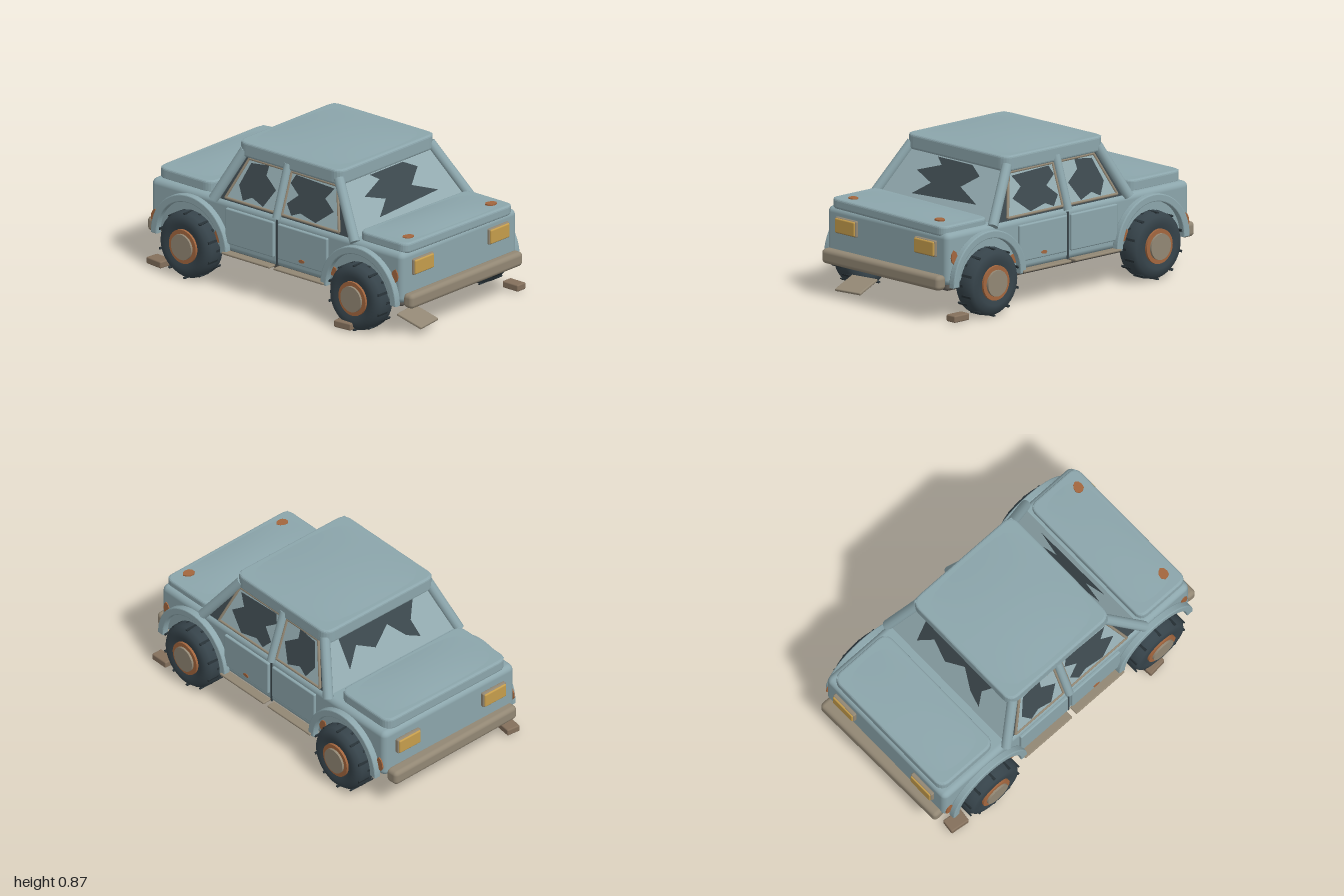
import * as THREE from 'three';
import { RoundedBoxGeometry } from 'three/addons/geometries/RoundedBoxGeometry.js';

const mat = (name, color, side = THREE.FrontSide) => {
  const m = new THREE.MeshStandardMaterial({ color, side });
  m.name = name;
  return m;
};

export function createModel() {
  const paint = mat('faded blue paint', 0x8ca6ac);
  const shard = mat('dusty glass', 0x95adb2, THREE.DoubleSide);
  const dark = mat('dark interior', 0x3c484d);
  const rubber = mat('tyre rubber', 0x36434a);
  const tread = mat('tread black', 0x273136);
  const trim = mat('tarnished trim', 0x928774);
  const rust = mat('rust', 0xa3663e);
  const amber = mat('amber lamp', 0xc59d4c);
  const under = mat('underbody', 0x5f5b55);
  const brick = mat('rubble', 0x84705c);

  const car = new THREE.Group();
  car.name = 'abandonedCar';
  car.position.z = -0.008;

  const add = (name, geo, m, x = 0, y = 0, z = 0, parent = car) => {
    const mesh = new THREE.Mesh(geo, m);
    mesh.name = name;
    mesh.position.set(x, y, z);
    parent.add(mesh);
    return mesh;
  };
  // Rounded block given by its extents
  const block = (name, m, x0, x1, y0, y1, z0, z1, r = 0.01) => add(name,
    new RoundedBoxGeometry(x1 - x0, y1 - y0, z1 - z0, 3, r), m, (x0 + x1) / 2, (y0 + y1) / 2, (z0 + z1) / 2);
  // Round bar between two points
  const bar = (name, m, a, b, r, sides = 12) => {
    const A = new THREE.Vector3(...a), B = new THREE.Vector3(...b), d = B.clone().sub(A);
    const mesh = add(name, new THREE.CylinderGeometry(r, r, d.length(), sides), m);
    mesh.position.copy(A).add(B).multiplyScalar(0.5);
    mesh.quaternion.setFromUnitVectors(new THREE.Vector3(0, 1, 0), d.normalize());
    return mesh;
  };
  // Slab with rounded plan corners and a shallow crown on top
  const crownedSlab = (name, x0, x1, y0, y1, hz, crown, r) => {
    const g = new THREE.Group(), b = 0.014, hx = (x1 - x0) / 2 - b, w = hz - b;
    g.name = name;
    g.position.set((x0 + x1) / 2, y0, 0);
    const s = new THREE.Shape();
    s.moveTo(-hx + r, -w);
    s.lineTo(hx - r, -w); s.quadraticCurveTo(hx, -w, hx, -w + r);
    s.lineTo(hx, w - r); s.quadraticCurveTo(hx, w, hx - r, w);
    s.lineTo(-hx + r, w); s.quadraticCurveTo(-hx, w, -hx, w - r);
    s.lineTo(-hx, -w + r); s.quadraticCurveTo(-hx, -w, -hx + r, -w);
    const slab = new THREE.ExtrudeGeometry(s, { depth: y1 - y0 - 2 * b, bevelThickness: b, bevelSize: b, bevelSegments: 3, curveSegments: 6 });
    slab.rotateX(-Math.PI / 2).translate(0, b, 0);
    add(name + 'Slab', slab, paint, 0, 0, 0, g);
    const top = new THREE.PlaneGeometry(2 * hx, 2 * w, 12, 12).rotateX(-Math.PI / 2);
    const p = top.attributes.position;
    for (let i = 0; i < p.count; i++) {
      const u = p.getX(i) / hx, v = p.getZ(i) / w;
      p.setY(i, y1 - y0 - 0.002 + crown * (1 - u * u) * (1 - v * v));
    }
    top.computeVertexNormals();
    add(name + 'Crown', top, paint, 0, 0, 0, g);
    car.add(g);
    return g;
  };

  // Lower body, lids, roof and floor
  block('body', paint, -0.935, 0.935, 0.21, 0.512, -0.49, 0.49, 0.035);
  block('floorPan', under, -0.85, 0.87, 0.16, 0.25, -0.42, 0.42, 0.02);
  crownedSlab('hood', -0.92, -0.515, 0.5, 0.573, 0.45, 0.014, 0.05);
  crownedSlab('trunkLid', 0.585, 0.937, 0.495, 0.556, 0.46, 0.015, 0.04).rotation.x = -0.015;
  crownedSlab('roof', -0.36, 0.405, 0.765, 0.855, 0.41, 0.02, 0.05);

  // Dark cabin seen through the broken windows
  const cabin = new THREE.BoxGeometry(1, 0.3, 1).toNonIndexed();
  const cp = cabin.attributes.position;
  for (let i = 0; i < cp.count; i++) {
    const up = cp.getY(i) > 0;
    cp.setX(i, cp.getX(i) < 0 ? (up ? -0.30 : -0.45) : (up ? 0.36 : 0.56));
    cp.setZ(i, Math.sign(cp.getZ(i)) * (up ? 0.37 : 0.475));
  }
  cabin.computeVertexNormals();
  add('cabinInterior', cabin, dark, 0, 0.65, 0);

  // Broken panes: an outline with a jagged hole, laid on a sloping plane
  const pane = (name, outline, hole, place) => {
    const v = (pts) => pts.map(([a, b]) => new THREE.Vector2(a, b));
    const s = new THREE.Shape(v(outline));
    s.holes.push(new THREE.Path(v(hole)));
    const g = new THREE.ShapeGeometry(s), p = g.attributes.position;
    for (let i = 0; i < p.count; i++) p.setXYZ(i, ...place(p.getX(i), p.getY(i)));
    g.computeVertexNormals();
    add(name, g, shard);
  };
  const sideZ = (y) => 0.488 - 0.35 * (y - 0.5);
  const endOutline = [[-0.47, 0.5], [0.47, 0.5], [0.375, 0.79], [-0.375, 0.79]];
  pane('rearWindow', endOutline,
    [[0.15, 0.76], [0.095, 0.725], [0.26, 0.675], [0.115, 0.63], [0.22, 0.56], [-0.29, 0.58], [-0.115, 0.645], [-0.22, 0.715], [-0.13, 0.76]],
    (z, y) => [0.575 - 0.68 * (y - 0.5), y, z]);
  pane('windscreen', endOutline,
    [[-0.3, 0.76], [-0.29, 0.58], [-0.2, 0.68], [-0.08, 0.62], [0.04, 0.7], [0.14, 0.6], [0.23, 0.56], [0.2, 0.66], [0.26, 0.76]],
    (z, y) => [-0.465 + 0.5 * (y - 0.5), y, z]);

  const windows = [
    { name: 'frontSideWindow', frame: [[-0.385, 0.525], [-0.28, 0.76], [-0.02, 0.76], [-0.02, 0.525]],
      hole: [[-0.26, 0.74], [-0.13, 0.755], [-0.135, 0.7], [-0.045, 0.64], [-0.11, 0.535], [-0.2, 0.565], [-0.26, 0.535], [-0.31, 0.61]] },
    { name: 'rearSideWindow', frame: [[0.035, 0.525], [0.035, 0.76], [0.375, 0.76], [0.46, 0.525]],
      hole: [[0.07, 0.75], [0.36, 0.74], [0.31, 0.675], [0.39, 0.62], [0.28, 0.535], [0.16, 0.56], [0.1, 0.535], [0.05, 0.59], [0.12, 0.65], [0.045, 0.7]] },
  ];

  // Tyre cross-section (radius, across width)
  const tyreProfile = [[0.085, -0.06], [0.13, -0.078], [0.17, -0.07], [0.19, -0.045], [0.195, 0],
    [0.19, 0.045], [0.17, 0.07], [0.13, 0.078], [0.085, 0.06]].map(([r, w]) => new THREE.Vector2(r, w));
  const wheel = (x, s) => {
    const g = new THREE.Group();
    g.name = 'wheel';
    g.position.set(x, 0.2, s * 0.498);
    g.rotation.x = s * Math.PI / 2;
    add('tyre', new THREE.LatheGeometry(tyreProfile, 40), rubber, 0, 0, 0, g);
    add('rustyRim', new THREE.CylinderGeometry(0.1, 0.104, 0.16, 32), rust, 0, 0, 0, g);
    add('hubCap', new THREE.CylinderGeometry(0.075, 0.09, 0.18, 32), trim, 0, 0.002, 0, g);
    for (let i = 0; i < 20; i++) {
      const a = i / 20 * Math.PI * 2;
      const t = add('treadBlock', new THREE.BoxGeometry(0.008, 0.075, 0.014), tread,
        Math.cos(a) * 0.191, i % 2 ? 0.028 : -0.028, Math.sin(a) * 0.191, g);
      t.rotation.y = -a;
    }
    car.add(g);
  };

  // Wheel arch strip
  const archShape = new THREE.Shape();
  archShape.absarc(0, 0, 0.274, 0, Math.PI, false);
  archShape.absarc(0, 0, 0.242, Math.PI, 0, true);
  const archGeo = new THREE.ExtrudeGeometry(archShape, { depth: 0.03, bevelThickness: 0.006, bevelSize: 0.006, bevelSegments: 2, curveSegments: 24 });

  // Ragged rust patch lying on the side or on a lid
  const patch = (x, y, z, rx, ry, flat = false) => {
    const pts = [];
    for (let i = 0; i < 9; i++) {
      const a = i / 9 * Math.PI * 2, k = 1 - 0.22 * Math.abs(Math.sin(i * 2.3 + x * 9));
      pts.push(new THREE.Vector2(Math.cos(a) * rx * k, Math.sin(a) * ry * k));
    }
    const g = new THREE.ExtrudeGeometry(new THREE.Shape(pts), { depth: 0.008, bevelEnabled: false }).translate(0, 0, -0.004);
    const m = add('rustPatch', g, rust, x, y, z);
    if (flat) m.rotation.x = -Math.PI / 2;
  };

  for (const s of [1, -1]) {
    // Roof pillars
    bar('windscreenPillar', paint, [-0.465, 0.5, s * 0.49], [-0.32, 0.8, s * 0.385], 0.03);
    bar('rearPillar', paint, [0.585, 0.5, s * 0.49], [0.375, 0.8, s * 0.385], 0.03);
    bar('doorPillar', paint, [0.008, 0.5, s * 0.495], [0.008, 0.8, s * 0.395], 0.025);
    // Side glass and frames
    pane('sideGlass', [[-0.45, 0.5], [0.56, 0.5], [0.37, 0.79], [-0.31, 0.79]], windows[0].hole, (x, y) => [x, y, s * (sideZ(y) - 0.008)]);
    car.children.pop();
    for (const w of windows) {
      const at = (x, y) => [x, y, s * sideZ(y)];
      pane(w.name, w.frame, w.hole, at);
      w.frame.forEach((p, i) => bar('windowFrame', trim, at(...p), at(...w.frame[(i + 1) % 4]), 0.008, 8));
    }
    // Doors, the gap between them and their lower trim
    const span = (name, m, x0, x1, y0, y1, z0, z1, r) =>
      block(name, m, x0, x1, y0, y1, Math.min(s * z0, s * z1), Math.max(s * z0, s * z1), r);
    for (const [x0, x1] of [[-0.365, -0.008], [0.022, 0.39]]) {
      span('doorPanel', paint, x0, x1, 0.265, 0.475, 0.48, 0.506, 0.008);
      span('sillTrim', trim, x0, x1, 0.208, 0.222, 0.485, 0.54, 0.006);
    }
    add('doorGap', new THREE.BoxGeometry(0.012, 0.27, 0.008), dark, 0.007, 0.355, s * 0.49);
    // Wheels and arches
    for (const x of [-0.62, 0.64]) {
      wheel(x, s);
      add('wheelArch', archGeo, paint, x, 0.21, s * 0.508 - 0.015);
    }
    // Rust
    patch(0.885, 0.37, s * 0.492, 0.03, 0.045);
    patch(-0.9, 0.29, s * 0.492, 0.03, 0.05);
    patch(-0.425, 0.29, s * 0.492, 0.035, 0.045);
    patch(0.425, 0.29, s * 0.492, 0.03, 0.035);
    patch(0.205, 0.295, s * 0.506, 0.028, 0.012);
    patch(0.86, 0.562, s * 0.35, 0.035, 0.04, true);
    // Lamps at both ends
    for (const [e, x, y] of [[-1, -0.945, 0.395], [1, 0.938, 0.415]]) {
      add('lampRim', new RoundedBoxGeometry(0.026, 0.094, 0.172, 2, 0.008), trim, x, y, s * 0.32);
      add('lamp', new RoundedBoxGeometry(0.03, 0.084, 0.16, 2, 0.008), amber, x + e * 0.006, y, s * 0.32);
    }
  }

  // Bumpers
  block('frontBumper', trim, -0.995, -0.91, 0.175, 0.262, -0.465, 0.465, 0.025).rotation.y = 0.02;
  block('rearBumper', trim, 0.925, 0.995, 0.19, 0.275, -0.475, 0.475, 0.025);

  // Rubble and a fallen plate on the ground
  block('rubble', brick, -0.92, -0.8, 0.015, 0.055, 0.46, 0.545, 0.008).rotation.y = -0.12;
  block('rubble', brick, 0.525, 0.64, 0.013, 0.055, 0.53, 0.6, 0.008).rotation.y = 0.1;
  block('rubble', brick, 0.825, 0.94, 0.015, 0.055, -0.555, -0.485, 0.008);
  const plate = block('fallenPlate', trim, 0.8, 0.97, 0.068, 0.084, 0.21, 0.39, 0.006);
  plate.rotation.set(0, 0.15, -0.32);

  const root = new THREE.Group();
  root.name = 'model';
  root.add(car);
  return root;
}
